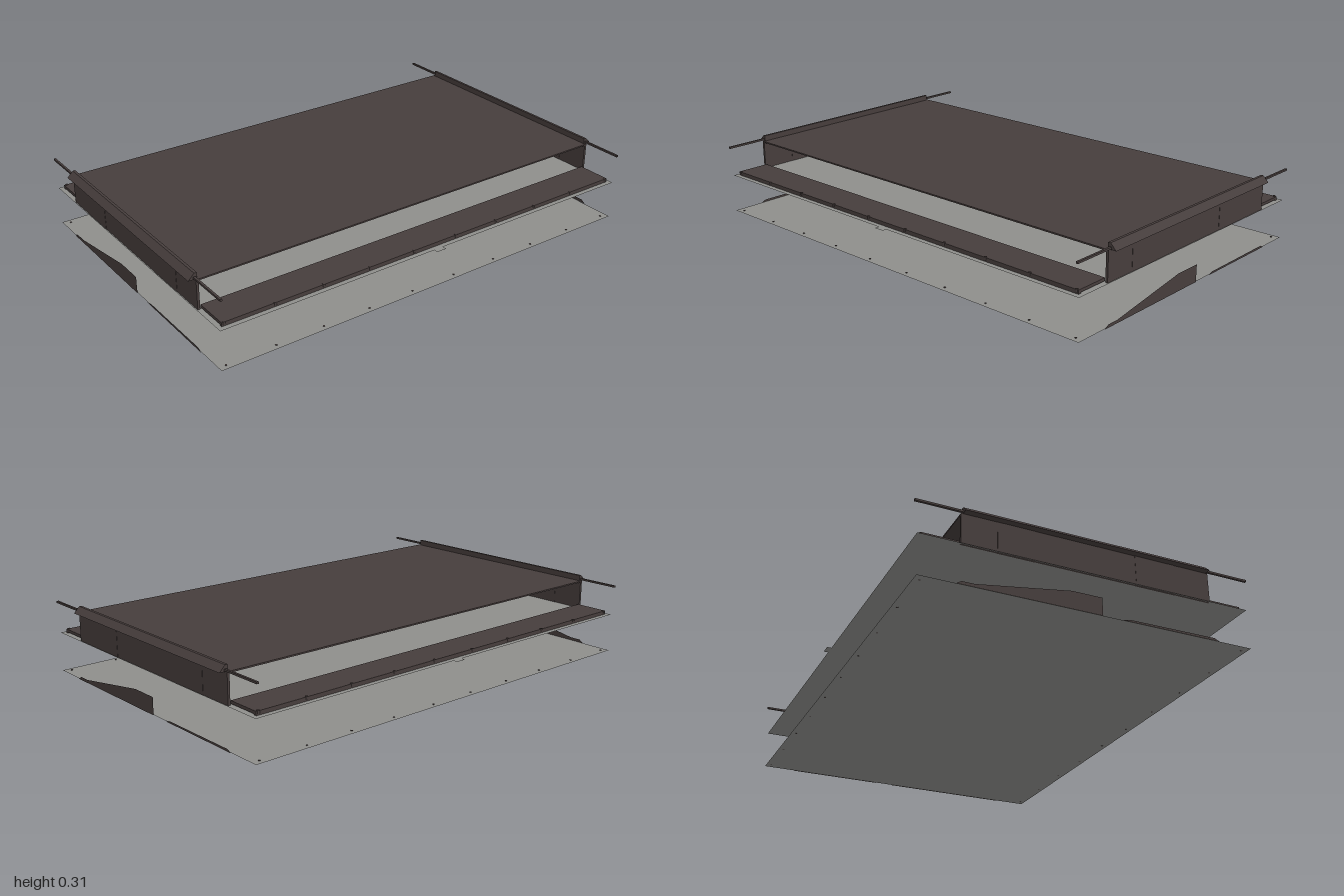
import * as THREE from 'three';

export function createModel() {
  const model = new THREE.Group();
  model.name = 'ventedPanelAssembly';
  const dark = new THREE.MeshStandardMaterial({ color: 0x463d3c, side: THREE.DoubleSide });
  dark.name = 'dark brown metal';
  const grey = new THREE.MeshStandardMaterial({ color: 0x8e8e8b, side: THREE.DoubleSide });
  grey.name = 'grey sheet';

  function add(parent, name, geometry, material, x = 0, y = 0, z = 0) {
    const mesh = new THREE.Mesh(geometry, material);
    mesh.name = name;
    mesh.position.set(x, y, z);
    parent.add(mesh);
    return mesh;
  }
  const box = (w, h, d) => new THREE.BoxGeometry(w, h, d);
  const sheet = (w, d) => new THREE.PlaneGeometry(w, d).rotateX(-Math.PI / 2);
  const outline = (points) => new THREE.Shape(points.map(([x, y]) => new THREE.Vector2(x, y)));

  // Flat sheets: ground sheet, raised floor and cover
  add(model, 'groundSheet', sheet(1.345, 1.96), grey, 0, 0.001, 0);
  add(model, 'floorSheet', sheet(1.345, 1.955), grey, 0, 0.166, 0);
  add(model, 'coverSheet', box(1.02, 0.006, 1.94), dark, 0, 0.287, 0);

  // Long side strips with bolts and a small middle tab
  for (const side of [-1, 1]) {
    const edge = new THREE.Group();
    edge.name = side > 0 ? 'leftEdge' : 'rightEdge';
    model.add(edge);
    add(edge, 'sideStrip', box(0.145, 0.012, 1.92), dark, side * 0.58, 0.177, 0);
    add(edge, 'stripLip', box(0.012, 0.016, 1.92), dark, side * 0.647, 0.175, 0);
    add(edge, 'middleTab', sheet(0.02, 0.045), grey, side * 0.681, 0.166, 0);
    for (let i = 0; i < 10; i++) {
      const z = -0.95 + (i * 1.9) / 9;
      add(edge, 'bolt', new THREE.CylinderGeometry(0.006, 0.006, 0.012, 8), dark, side * 0.65, 0.179, z);
      add(edge, 'groundBolt', new THREE.CylinderGeometry(0.004, 0.004, 0.003, 8), dark, side * 0.65, 0.002, z);
    }
  }

  // One end, built facing +z; the other is the same end turned half a circle
  const flapProfile = outline([[0.964, 0.289], [1.0, 0.289], [0.975, 0.314], [0.964, 0.314]]);
  const halfGable = outline([
    [-0.53, 0], [0.037, 0], [0.037, 0.073], [-0.085, 0.073], [-0.46, 0.013], [-0.51, 0.013],
  ]);
  halfGable.closePath();
  const seams = [-0.51, -0.37, -0.22, 0.19, 0.36, 0.51];

  function makeEnd(name) {
    const end = new THREE.Group();
    end.name = name;
    // Upright wall of overlapping panels
    for (let i = 0; i < seams.length - 1; i++) {
      const width = seams[i + 1] - seams[i];
      add(end, 'endPanel', box(width, 0.124, 0.01 + (i % 2) * 0.002), dark, seams[i] + width / 2, 0.228, 0.968);
    }
    // Sloping cap, extruded along x
    const cap = new THREE.ExtrudeGeometry(flapProfile, { depth: 1.005, bevelEnabled: false });
    cap.rotateY(-Math.PI / 2);
    add(end, 'slopingCap', cap, dark, 0.5025, 0, 0);
    // Crossbar that overhangs both sides
    add(end, 'crossbar', box(1.37, 0.008, 0.009), dark, 0, 0.296, 0.975);
    // Half gable and low strip standing on the ground sheet
    add(end, 'halfGable', new THREE.ShapeGeometry(halfGable), dark, 0, 0, 0.982);
    add(end, 'lowStrip', new THREE.ShapeGeometry(outline([[0.12, 0], [0.53, 0], [0.51, 0.01], [0.15, 0.008]])),
      dark, 0, 0, 0.982);
    model.add(end);
    return end;
  }
  makeEnd('frontEnd');
  makeEnd('backEnd').rotation.y = Math.PI;

  return model;
}
